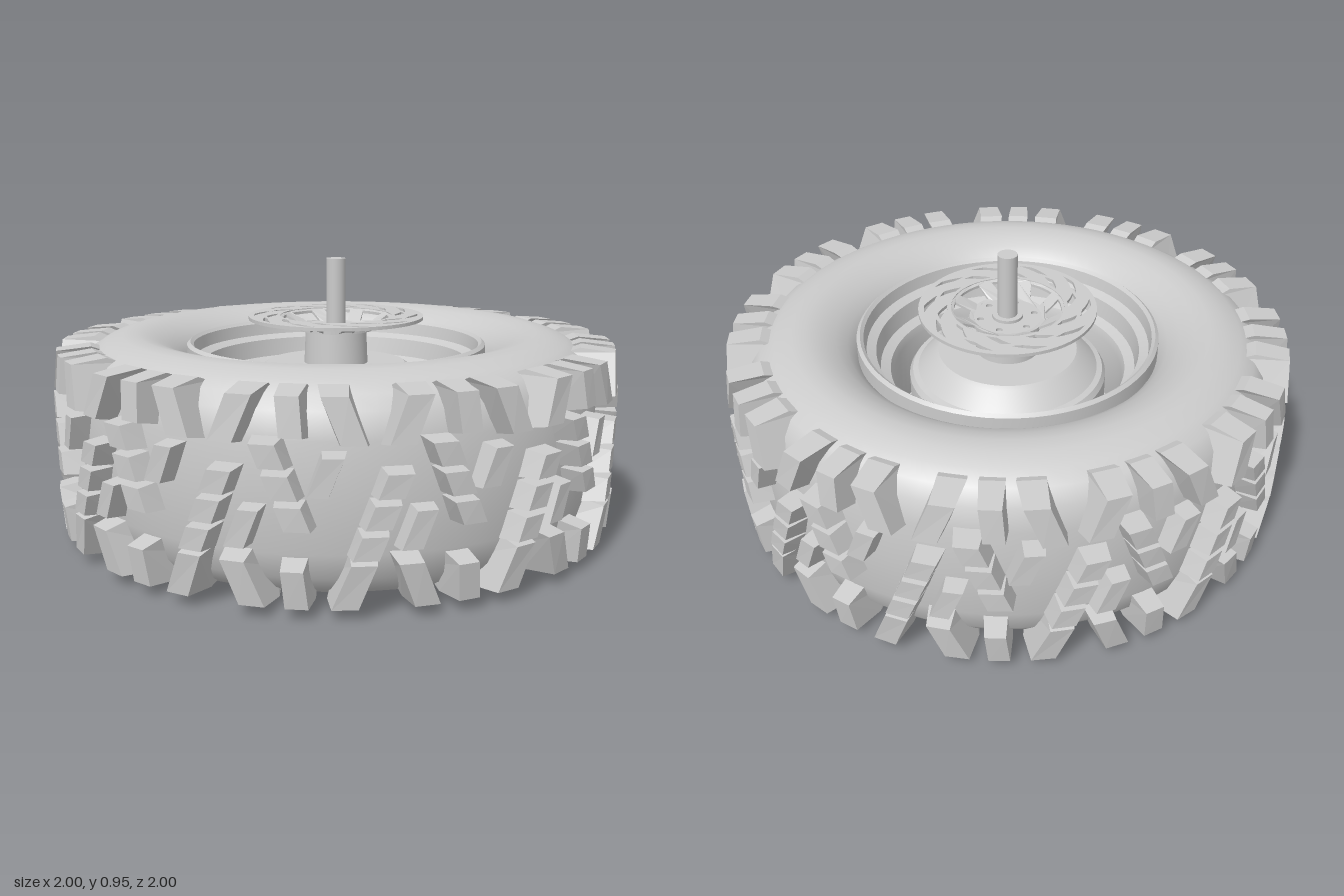
import * as THREE from 'three';
import { mergeGeometries, toCreasedNormals } from 'three/addons/utils/BufferGeometryUtils.js';

const MID = 0.35; // mid-plane of the tyre
const TAU = Math.PI * 2;
const grey = new THREE.MeshStandardMaterial({ color: 0xcccccc });
const greyOpen = new THREE.MeshStandardMaterial({ color: 0xcccccc, side: THREE.DoubleSide });

function add(parent, name, geometry, material = grey) {
  const mesh = new THREE.Mesh(geometry, material);
  mesh.name = name;
  parent.add(mesh);
}

// Surface of revolution with crisp steps
function turned(points, segments = 64, crease = 0.5) {
  const g = new THREE.LatheGeometry(points.map(([r, y]) => new THREE.Vector2(r, y)), segments);
  return toCreasedNormals(g, crease);
}

function cylinder(r, y0, y1, segments = 24) {
  return new THREE.CylinderGeometry(r, r, y1 - y0, segments).translate(0, (y0 + y1) / 2, 0);
}

// Tread block: an (r, y) profile swept over an arc, leaning along y and tapering outwards
function lug(profile, angle, halfWidth, lean) {
  const g = new THREE.ExtrudeGeometry(
    new THREE.Shape(profile.map(([r, y]) => new THREE.Vector2(r, y))),
    { depth: 2, bevelEnabled: false, steps: 1 });
  const yc = profile.reduce((s, p) => s + p[1], 0) / profile.length;
  const p = g.attributes.position;
  for (let i = 0; i < p.count; i++) {
    const r = p.getX(i), y = p.getY(i);
    const w = halfWidth * (1 - 0.28 * Math.max(0, (r - 0.9) / 0.1));
    const a = angle + lean * (y - yc) - (p.getZ(i) - 1) * w;
    p.setXYZ(i, r * Math.sin(a), y, r * Math.cos(a));
  }
  g.computeVertexNormals();
  return g;
}

const flip = (profile) => profile.map(([r, y]) => [r, 2 * MID - y]);
const centreProfile = (y0, y1, top = 1) =>
  [[0.9, y0], [top, y0 + 0.008], [top, y1 - 0.008], [0.9, y1]];
const shoulderProfile = (y0) =>
  [[0.88, y0], [0.998, y0 + 0.025], [0.985, 0.662], [0.87, 0.674], [0.82, 0.655], [0.82, 0.6]];

// Diagonal bar cut into three segments
function bar(angle, yc, lean) {
  return [-1, 0, 1].map((k) => {
    const y = yc + k * 0.09;
    return lug(centreProfile(y - 0.043, y + 0.043), angle + lean * k * 0.09, 0.053, lean);
  });
}

// Twelve repeats; the lower half is the upper one turned end for end
function buildTread() {
  const parts = [];
  const shoulders = [[-0.115, 0.5, 0.052, -0.4], [0.085, 0.5, 0.052, 0.4], [0.255, 0.52, 0.046, -0.1]];
  for (let i = 0; i < 12; i++) {
    const a = (i * TAU) / 12;
    parts.push(...bar(a - 0.295, 0.4, -0.4), ...bar(a, 0.315, 0.4));
    parts.push(lug(centreProfile(0.365, 0.495, 0.99), a - 0.165, 0.042, 0.4));
    parts.push(lug(centreProfile(0.205, 0.335, 0.99), a + 0.11, 0.042, 0.4));
    for (const [phase, y0, w, lean] of shoulders) {
      parts.push(lug(shoulderProfile(y0), a + phase, w, lean));
      parts.push(lug(flip(shoulderProfile(y0)).reverse(), a - phase, w, lean));
    }
  }
  return mergeGeometries(parts);
}

// Opening bounded by two radii and an arc; twist swirls the outer end
function opening(r0, r1, angle, w0, w1, twist = 0) {
  const pts = [], n = 6;
  const at = (t, s) => {
    const r = r0 + (r1 - r0) * t;
    const a = angle + twist * t + s * (w0 + (w1 - w0) * t) / 2;
    return new THREE.Vector2(r * Math.cos(a), r * Math.sin(a));
  };
  for (let i = 0; i <= n; i++) pts.push(at(i / n, -1));
  for (let i = 1; i < 4; i++) pts.push(at(1, -1 + i / 2));
  for (let i = n; i >= 0; i--) pts.push(at(i / n, 1));
  for (let i = 3; i > 0; i--) pts.push(at(0, -1 + i / 2));
  return new THREE.Path(pts);
}

// Flat pierced ring lying at height y
function plate(rOut, rIn, holes, y, thickness) {
  const shape = new THREE.Shape().absarc(0, 0, rOut, 0, TAU, false);
  shape.holes.push(new THREE.Path().absarc(0, 0, rIn, 0, TAU, true), ...holes);
  return new THREE.ExtrudeGeometry(shape, { depth: thickness, bevelEnabled: false, curveSegments: 32 })
    .rotateX(-Math.PI / 2).translate(0, y, 0);
}

const ring = (n, fn) => Array.from({ length: n }, (_, i) => fn((i * TAU) / n));

export function createModel() {
  const model = new THREE.Group();
  model.name = 'wheel';

  // Tyre carcass: half profile mirrored about the mid-plane
  const upper = [[0.93, 0.35], [0.925, 0.52], [0.905, 0.6], [0.87, 0.645], [0.82, 0.675], [0.76, 0.695],
    [0.71, 0.7], [0.66, 0.688], [0.61, 0.665], [0.57, 0.635], [0.54, 0.6], [0.525, 0.56]];
  const lower = flip(upper.slice(1)).reverse();
  const tyre = new THREE.Group();
  tyre.name = 'tyre';
  model.add(tyre);
  add(tyre, 'tyreCarcass', turned([...lower, ...upper, lower[0]], 72, 0.6));
  add(tyre, 'treadBlocks', buildTread());

  // Stepped rim barrel
  const rim = new THREE.Group();
  rim.name = 'rim';
  model.add(rim);
  const flange = [[0.415, 0.48], [0.425, 0.51], [0.46, 0.525], [0.472, 0.59], [0.505, 0.605],
    [0.513, 0.65], [0.525, 0.66], [0.537, 0.65], [0.537, 0.58]];
  add(rim, 'rimBarrel', turned([...flip(flange).reverse(), ...flange]), greyOpen);

  // Wheel face with ten windows and a raised centre
  const windows = ring(10, (a) => opening(0.285, 0.372, a + 0.09, 0.2, 0.28));
  add(rim, 'wheelFace', plate(0.418, 0.245, windows, 0.235, 0.018));
  add(rim, 'wheelCentre', turned([[0.25, 0.235], [0.225, 0.26], [0.2, 0.27], [0.07, 0.27]]), greyOpen);
  add(rim, 'hubCap', turned([[0, 0.245], [0.05, 0.245], [0.055, 0.215], [0.075, 0.215], [0.088, 0.228], [0.088, 0.3]], 32));
  ring(8, (a) => {
    const nut = new THREE.Group();
    nut.name = 'wheelNut';
    add(nut, 'nutBody', toCreasedNormals(cylinder(0.033, 0.23, 0.285, 6), 0.5));
    add(nut, 'stud', cylinder(0.016, 0.212, 0.25, 12));
    nut.position.set(0.158 * Math.cos(a), 0, 0.158 * Math.sin(a));
    rim.add(nut);
  });

  // Drum and hub behind the wheel face
  add(model, 'drum', turned([[0, 0.28], [0.27, 0.28], [0.357, 0.33], [0.357, 0.48], [0.345, 0.5],
    [0.325, 0.505], [0.265, 0.565], [0.25, 0.575], [0.115, 0.575], [0.11, 0.69], [0, 0.69]]));

  // Brake disc with two rings of swirling slots
  const disc = new THREE.Group();
  disc.name = 'brakeDisc';
  model.add(disc);
  const slots = [
    ...ring(10, (a) => opening(0.262, 0.295, a, 0.16, 0.16, 0.28)),
    ...ring(10, (a) => opening(0.213, 0.25, a + 0.25, 0.17, 0.15, 0.24)),
  ];
  add(disc, 'discRing', plate(0.315, 0.2, slots, 0.734, 0.012));

  // Dished carrier of the disc
  const gaps = ring(8, (a) => opening(0.135, 0.19, a, 0.4, 0.52, 0.1));
  const carrier = plate(0.204, 0.12, gaps, 0.734, 0.01);
  const p = carrier.attributes.position;
  for (let i = 0; i < p.count; i++) {
    const r = Math.hypot(p.getX(i), p.getZ(i));
    p.setY(i, p.getY(i) - 0.04 * THREE.MathUtils.clamp((0.2 - r) / 0.07, 0, 1));
  }
  carrier.computeVertexNormals();
  add(disc, 'discCarrier', carrier);
  const boltHoles = ring(6, (a) =>
    new THREE.Path().absarc(0.098 * Math.cos(a), 0.098 * Math.sin(a), 0.012, 0, TAU, true));
  add(disc, 'carrierHub', plate(0.135, 0.03, boltHoles, 0.694, 0.01));

  // Axle shaft and collar
  add(model, 'axleCollar', cylinder(0.055, 0.69, 0.715));
  add(model, 'axle', cylinder(0.035, 0.28, 0.95));

  return model;
}
